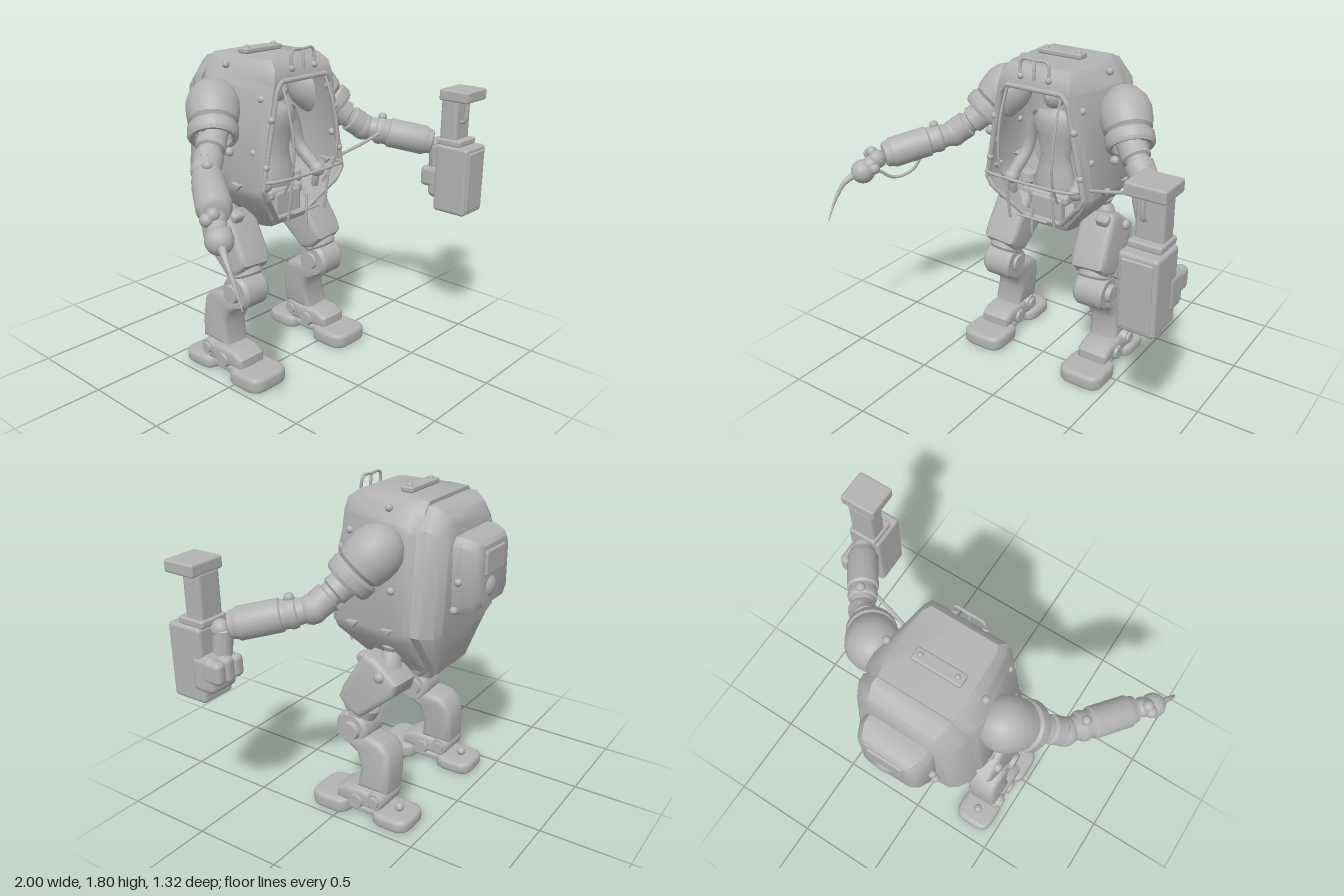
import * as THREE from 'three';
import { toCreasedNormals } from 'three/addons/utils/BufferGeometryUtils.js';
import { RoundedBoxGeometry } from 'three/addons/geometries/RoundedBoxGeometry.js';

const V = (x, y, z) => new THREE.Vector3(x, y, z);

export function createModel() {
  const model = new THREE.Group();
  model.name = 'walkerSuit';
  const grey = new THREE.MeshStandardMaterial({ color: 0xb2b2b2, side: THREE.DoubleSide });
  grey.name = 'plain grey';

  const add = (name, geo, pos) => {
    const mesh = new THREE.Mesh(geo, grey);
    mesh.name = name;
    if (pos) mesh.position.copy(pos);
    model.add(mesh);
    return mesh;
  };
  const box = (name, w, h, d, pos, r = 0.02) =>
    add(name, new RoundedBoxGeometry(w, h, d, 2, Math.min(r, w / 2.1, h / 2.1, d / 2.1)), pos);
  const ball = (name, r, pos, sx = 1, sy = 1, sz = 1) => {
    const m = add(name, new THREE.SphereGeometry(r, 20, 14), pos);
    m.scale.set(sx, sy, sz);
    return m;
  };
  const tube = (name, pts, r) =>
    add(name, new THREE.TubeGeometry(new THREE.CatmullRomCurve3(pts), 28, r, 8));

  // Turned part along a line; profile entries are [fraction along line, radius]
  const limb = (name, a, b, profile) => {
    const dir = b.clone().sub(a), len = dir.length();
    const pts = profile.map(([t, r]) => new THREE.Vector2(r, t * len));
    const m = add(name, toCreasedNormals(new THREE.LatheGeometry(pts, 28), 0.6), a);
    m.quaternion.setFromUnitVectors(V(0, 1, 0), dir.normalize());
    return m;
  };
  const rod = (name, a, b, r, bev = 0.04) =>
    limb(name, a, b, [[0, 0], [0, r * 0.85], [bev, r], [1 - bev, r], [1, r * 0.85], [1, 0]]);
  const drumX = (name, r, w, pos) =>
    rod(name, V(pos.x - w / 2, pos.y, pos.z), V(pos.x + w / 2, pos.y, pos.z), r, 0.12);

  // Skin over mirrored cross-sections; each ring lists its +x half
  const loft = (name, halves, closed, capStart, capEnd) => {
    const rings = halves.map(h => [...h, ...h.map(([x, y, z]) => [-x, y, z]).reverse()]);
    const n = rings[0].length, idx = [];
    for (let i = 0; i < rings.length - 1; i++)
      for (let j = 0; j < (closed ? n : n - 1); j++) {
        const a = i * n + j, b = i * n + (j + 1) % n;
        idx.push(a, b, a + n, b, b + n, a + n);
      }
    const last = (rings.length - 1) * n;
    for (let j = 1; j < n - 1; j++) {
      if (capStart) idx.push(0, j + 1, j);
      if (capEnd) idx.push(last, last + j, last + j + 1);
    }
    const g = new THREE.BufferGeometry();
    g.setAttribute('position', new THREE.Float32BufferAttribute(rings.flat(2), 3));
    g.setIndex(idx);
    return add(name, toCreasedNormals(g, 0.7));
  };

  // Extruded outline with rounded rims, centred on its depth
  const bevelled = (shape, width, bevel) => {
    const depth = width - 2 * bevel;
    return new THREE.ExtrudeGeometry(shape, {
      depth, bevelSize: bevel, bevelThickness: bevel, bevelOffset: -bevel, bevelSegments: 4, curveSegments: 8 })
      .translate(0, 0, -depth / 2);
  };
  // Side outline [z, y] given a width in x
  const slab = (name, pts, width, pos, bevel = 0.03) => {
    const shape = new THREE.Shape(pts.map(p => new THREE.Vector2(...p)));
    return add(name, toCreasedNormals(bevelled(shape, width, bevel).rotateY(-Math.PI / 2), 0.8), pos);
  };
  // Flat foot pad with rounded corners in plan
  const pad = (name, w, d, h, pos, r) => {
    const x = w / 2, y = d / 2, s = new THREE.Shape();
    s.moveTo(-x + r, -y).lineTo(x - r, -y).quadraticCurveTo(x, -y, x, -y + r);
    s.lineTo(x, y - r).quadraticCurveTo(x, y, x - r, y).lineTo(-x + r, y);
    s.quadraticCurveTo(-x, y, -x, y - r).lineTo(-x, -y + r).quadraticCurveTo(-x, -y, -x + r, -y);
    return add(name, toCreasedNormals(bevelled(s, h, 0.025).rotateX(-Math.PI / 2), 0.8), pos);
  };

  // Cabin shell: y, opening half width, front, side and back half widths, front z
  const sections = [
    [0.83, 0, 0.13, 0.17, 0.14, -0.03],
    [0.875, 0, 0.16, 0.2, 0.17, 0],
    [0.88, 0.12, 0.165, 0.205, 0.17, 0],
    [1.04, 0.27, 0.3, 0.33, 0.29, 0.085],
    [1.1, 0.31, 0.325, 0.36, 0.31, 0.09],
    [1.6, 0.205, 0.23, 0.32, 0.27, 0.09],
    [1.64, 0.18, 0.22, 0.305, 0.26, 0.09],
    [1.645, 0, 0.22, 0.3, 0.26, 0.09],
    [1.71, 0, 0.205, 0.26, 0.23, 0.075],
    [1.75, 0, 0.18, 0.21, 0.19, 0.03]];
  loft('cabinShell', sections.map(([y, xo, xf, xs, xb, z]) => [
    [xo, y, z], [xf, y, z], [xf + 0.02, y, z - 0.04], [xs, y, -0.27], [xs - 0.01, y, -0.34], [xb, y, -0.39]]),
    false, true, true);

  // Rear hull and pack, skinned towards the back
  const rear = (name, list) => loft(name, list.map(([z, pts]) => pts.map(([x, y]) => [x, y, z])), true, true, true);
  rear('rearHull', [
    [-0.38, [[0.2, 1.73], [0.29, 1.63], [0.345, 1.1], [0.15, 0.83]]],
    [-0.43, [[0.2, 1.73], [0.285, 1.63], [0.34, 1.1], [0.15, 0.835]]],
    [-0.49, [[0.18, 1.69], [0.255, 1.6], [0.3, 1.1], [0.14, 0.98]]],
    [-0.52, [[0.15, 1.65], [0.225, 1.56], [0.265, 1.12], [0.13, 1.07]]]]);
  const packRing = (w, top, bottom) => [[w - 0.03, top], [w, top - 0.04], [w, bottom + 0.04], [w - 0.03, bottom]];
  rear('backpack', [
    [-0.5, packRing(0.19, 1.59, 1.19)], [-0.57, packRing(0.19, 1.59, 1.2)],
    [-0.63, packRing(0.165, 1.57, 1.23)], [-0.65, packRing(0.14, 1.55, 1.25)]]);
  box('packPanel', 0.2, 0.13, 0.03, V(0, 1.46, -0.645), 0.012);
  ball('packDome', 0.055, V(0.03, 1.33, -0.64), 1, 1, 0.5);

  // Frame around the opening
  const half = [[0.12, 0.88, 0], [0.27, 1.04, 0.085], [0.31, 1.1, 0.09], [0.205, 1.6, 0.09], [0.17, 1.645, 0.09]];
  const loop = [...half, ...half.map(([x, y, z]) => [-x, y, z]).reverse()].map(p => V(...p));
  const path = new THREE.CurvePath();
  loop.forEach((p, i) => path.add(new THREE.LineCurve3(p, loop[(i + 1) % loop.length])));
  add('openingFrame', new THREE.TubeGeometry(path, 160, 0.014, 8, true));

  // Guard bars, levers and roof fittings
  tube('guardRail', [V(-0.3, 1.14, 0.08), V(-0.28, 1.15, 0.135), V(0, 1.14, 0.14), V(0.26, 1.15, 0.135), V(0.28, 1.14, 0.08)], 0.009);
  for (const s of [-1, 1]) {
    tube('guardBar', [V(0.165 * s, 1.63, 0.09), V(0.17 * s, 1.5, 0.14), V(0.17 * s, 1.35, 0.17), V(0.165 * s, 1.2, 0.165), V(0.15 * s, 1.05, 0.09)], 0.007);
    rod('lowerBar', V(0.145 * s, 1.14, 0.14), V(0.145 * s, 0.9, 0.11), 0.008);
    tube('roofHandle', [V(0, 1.79, 0.075), V(0.07 * s, 1.79, 0.075), V(0.085 * s, 1.77, 0.075), V(0.085 * s, 1.69, 0.085)], 0.008);
    ball('handleFoot', 0.018, V(0.085 * s, 1.7, 0.08));
  }
  rod('roofHandlePost', V(0, 1.79, 0.075), V(0, 1.69, 0.085), 0.008);
  rod('lowerCrossbar', V(-0.1, 0.93, 0.11), V(0.1, 0.93, 0.11), 0.007);
  rod('hangingRod', V(0, 1.02, 0.11), V(0, 0.84, 0.11), 0.008);
  box('roofPlate', 0.27, 0.03, 0.07, V(-0.02, 1.765, -0.21), 0.01);
  for (const x of [-0.12, 0.08]) ball('roofBolt', 0.015, V(x, 1.78, -0.21));

  // Pilot, seat and the console over the legs
  box('seatBack', 0.26, 0.6, 0.05, V(0, 1.28, -0.25), 0.02);
  box('seatPan', 0.26, 0.06, 0.26, V(0, 1.0, -0.16), 0.02);
  const torso = [[0, 0.99], [0.12, 1.0], [0.13, 1.06], [0.105, 1.15], [0.088, 1.22], [0.11, 1.34], [0.135, 1.42], [0.1, 1.47], [0.034, 1.485], [0.03, 1.53]];
  add('pilotTorso', new THREE.LatheGeometry(torso.map(p => new THREE.Vector2(...p)), 24), V(0, 0, -0.12)).scale.z = 0.6;
  ball('pilotHead', 0.06, V(0, 1.565, -0.11), 1, 1.25, 1.1);
  ball('pilotNose', 0.01, V(0, 1.56, -0.045), 1, 1.6, 1);
  box('legConsole', 0.2, 0.16, 0.06, V(0, 0.935, -0.05), 0.02);
  for (const s of [-1, 1]) {
    tube('pilotArm', [V(0.11 * s, 1.43, -0.12), V(0.155 * s, 1.36, -0.13), V(0.185 * s, 1.22, -0.12), V(0.21 * s, 1.1, -0.01)], 0.036);
    ball('pilotHand', 0.042, V(0.21 * s, 1.09, 0.0));
    rod('controlLever', V(0.21 * s, 1.12, 0), V(0.21 * s, 0.99, -0.02), 0.02);
  }

  // Bolts and small brackets on the cabin sides: x, y, z
  const bolts = [[0.255, 1.56, 0.03], [0.27, 1.71, -0.21], [0.305, 1.29, 0.02], [0.345, 1.32, -0.27],
    [0.2, 1.38, -0.56], [0.2, 1.23, -0.54], [0.285, 1.22, 0.09], [0.245, 1.46, 0.09]];

  for (const s of [-1, 1]) {
    const P = (x, y, z) => V(x * s, y, z);
    bolts.forEach(b => ball('hullBolt', 0.02, P(...b)));
    for (const z of [-0.05, -0.26])
      slab('hullBracket', [[z - 0.035, 1.125], [z + 0.035, 1.12], [z, 1.085]], 0.04, P(0.35, 0, 0), 0.006);

    // Shoulder dome and collar drop steeply, then the upper arm bends outwards
    const S = P(0.37, 1.52, -0.205), C = P(0.46, 1.39, -0.11), E = P(0.61, 1.26, 0), W = P(0.85, 1.18, 0.33);
    limb('shoulderDome', S, C, [[-0.76, 0], [-0.72, 0.04], [-0.58, 0.085], [-0.3, 0.125], [0, 0.14], [0.3, 0.138], [0.6, 0.128], [0.75, 0.1], [0.75, 0]]);
    limb('shoulderCollar', S, C, [[0.75, 0.1], [0.7, 0.118], [0.78, 0.13], [1.05, 0.13], [1.15, 0.118], [1.12, 0.098], [0.95, 0.09]]);
    limb('upperArm', C, E, [[-0.2, 0], [-0.2, 0.075], [0.42, 0.077], [0.46, 0.062], [0.56, 0.062], [0.6, 0.076], [0.92, 0.074], [1.0, 0.06], [1.0, 0]]);
    ball('elbow', 0.077, E);
    rod('elbowPin', P(0.6, 1.34, -0.01), P(0.63, 1.19, 0.01), 0.035, 0.1);
    ball('collarBolt', 0.024, P(0.4, 1.3, -0.06));
    ball('collarBolt', 0.024, P(0.54, 1.45, -0.1));

    // Forearm
    limb('forearm', E, W, [[0.05, 0], [0.05, 0.06], [0.18, 0.068], [0.2, 0.078], [0.26, 0.082], [0.3, 0.075], [0.36, 0.075],
      [0.38, 0.085], [0.88, 0.085], [0.92, 0.074], [0.98, 0.07], [1, 0.055], [1, 0]]);
    ball('forearmBolt', 0.026, P(0.68, 1.32, 0.09));
    ball('wrist', 0.05, P(0.875, 1.165, 0.36));

    // Hip and thigh
    limb('hipJoint', P(0.25, 1.03, -0.22), P(0.27, 0.88, -0.22), [[0, 0], [0, 0.04], [0.3, 0.05], [0.45, 0.035], [0.6, 0.05], [1, 0.06], [1, 0]]);
    const thigh = slab('thigh', [[-0.12, 0.955], [-0.2, 0.935], [-0.33, 0.83], [-0.31, 0.76], [-0.11, 0.59], [-0.03, 0.61], [0.03, 0.68], [0.01, 0.74]], 0.215, P(0.342, 0, 0), 0.035);
    thigh.rotation.z = 0.07 * s;
    box('thighPad', 0.08, 0.11, 0.06, P(0.325, 0.9, -0.11), 0.02).rotation.x = 0.5;
    ball('thighBolt', 0.03, P(0.385, 0.86, -0.23));
    rod('thighCuff', P(0.3, 0.66, -0.09), P(0.305, 0.58, -0.05), 0.095, 0.15);

    // Knee and shin
    drumX('knee', 0.1, 0.18, P(0.31, 0.51, -0.05));
    drumX('kneeCap', 0.055, 0.22, P(0.315, 0.51, -0.06));
    const shin = slab('shin', [[-0.02, 0.47], [-0.13, 0.49], [-0.24, 0.47], [-0.29, 0.42], [-0.3, 0.3], [-0.29, 0.18], [-0.1, 0.18], [-0.12, 0.3], [-0.09, 0.38], [0, 0.43]], 0.18, P(0.355, 0, 0), 0.035);
    shin.rotation.z = 0.09 * s;

    // Ankle and foot
    drumX('ankle', 0.052, 0.2, P(0.343, 0.14, -0.23));
    drumX('ankleHub', 0.035, 0.23, P(0.343, 0.14, -0.23));
    drumX('toeJoint', 0.045, 0.22, P(0.343, 0.105, -0.11));
    slab('instep', [[0.03, 0.08], [0.03, 0.14], [-0.03, 0.175], [-0.15, 0.18], [-0.26, 0.15], [-0.24, 0.07]], 0.19, P(0.343, 0, 0), 0.03);
    pad('toe', 0.265, 0.24, 0.09, P(0.343, 0.045, 0.065), 0.08);
    pad('heel', 0.23, 0.23, 0.075, P(0.343, 0.0375, -0.315), 0.08);
    box('sole', 0.14, 0.04, 0.2, P(0.343, 0.04, -0.12), 0.015);
    ball('heelStud', 0.026, P(0.343, 0.095, -0.33));
  }

  // Right hand: ball with a curved spike, small fingers and a hose
  ball('handBall', 0.067, V(-0.92, 1.1, 0.43));
  rod('handNeck', V(-0.86, 1.17, 0.34), V(-0.92, 1.11, 0.42), 0.048);
  for (const [x, y, z] of [[-0.9, 1.2, 0.37], [-0.86, 1.12, 0.4], [-0.93, 1.18, 0.36]])
    ball('handStud', 0.032, V(x, y, z));
  const spike = [V(-0.945, 1.09, 0.47), V(-0.975, 1.05, 0.53), V(-0.99, 0.97, 0.59), V(-0.997, 0.86, 0.65)];
  const curve = new THREE.CatmullRomCurve3(spike), cuts = 8;
  for (let i = 0; i < cuts; i++) {
    const r = t => 0.003 + 0.017 * (1 - t);
    limb('spike', curve.getPoint(i / cuts), curve.getPoint((i + 1) / cuts), [[0, r(i / cuts)], [1, r((i + 1) / cuts)]]);
  }
  tube('forearmHose', [V(-0.72, 1.17, 0.15), V(-0.76, 1.07, 0.2), V(-0.82, 1.04, 0.29), V(-0.86, 1.1, 0.37)], 0.009);

  // Left hand: boxy tool held in a fist
  box('toolBody', 0.2, 0.4, 0.21, V(0.892, 0.99, 0.495), 0.02);
  box('toolSidePlate', 0.16, 0.35, 0.02, V(0.892, 0.99, 0.598), 0.009);
  box('toolCollar', 0.17, 0.04, 0.16, V(0.89, 1.205, 0.46), 0.012);
  box('toolPost', 0.145, 0.26, 0.11, V(0.89, 1.33, 0.447), 0.02);
  box('toolCap', 0.205, 0.065, 0.185, V(0.895, 1.478, 0.485), 0.012);
  tube('toolPipe', [V(0.87, 1.45, 0.53), V(0.87, 1.36, 0.53), V(0.87, 1.33, 0.52), V(0.87, 1.32, 0.49)], 0.012);
  box('fistPalm', 0.185, 0.195, 0.14, V(0.907, 0.95, 0.395), 0.035);
  for (let i = 0; i < 3; i++)
    box('fistFinger', 0.065, 0.14 - 0.02 * Math.abs(i - 1), 0.12, V(0.845 + i * 0.062, 0.975, 0.335), 0.028);
  rod('fistWrist', V(0.87, 1.17, 0.35), V(0.88, 1.0, 0.36), 0.05);
  tube('toolCable', [V(0.28, 1.14, 0.04), V(0.45, 1.19, 0.09), V(0.64, 1.25, 0.13)], 0.01);
  return model;
}
